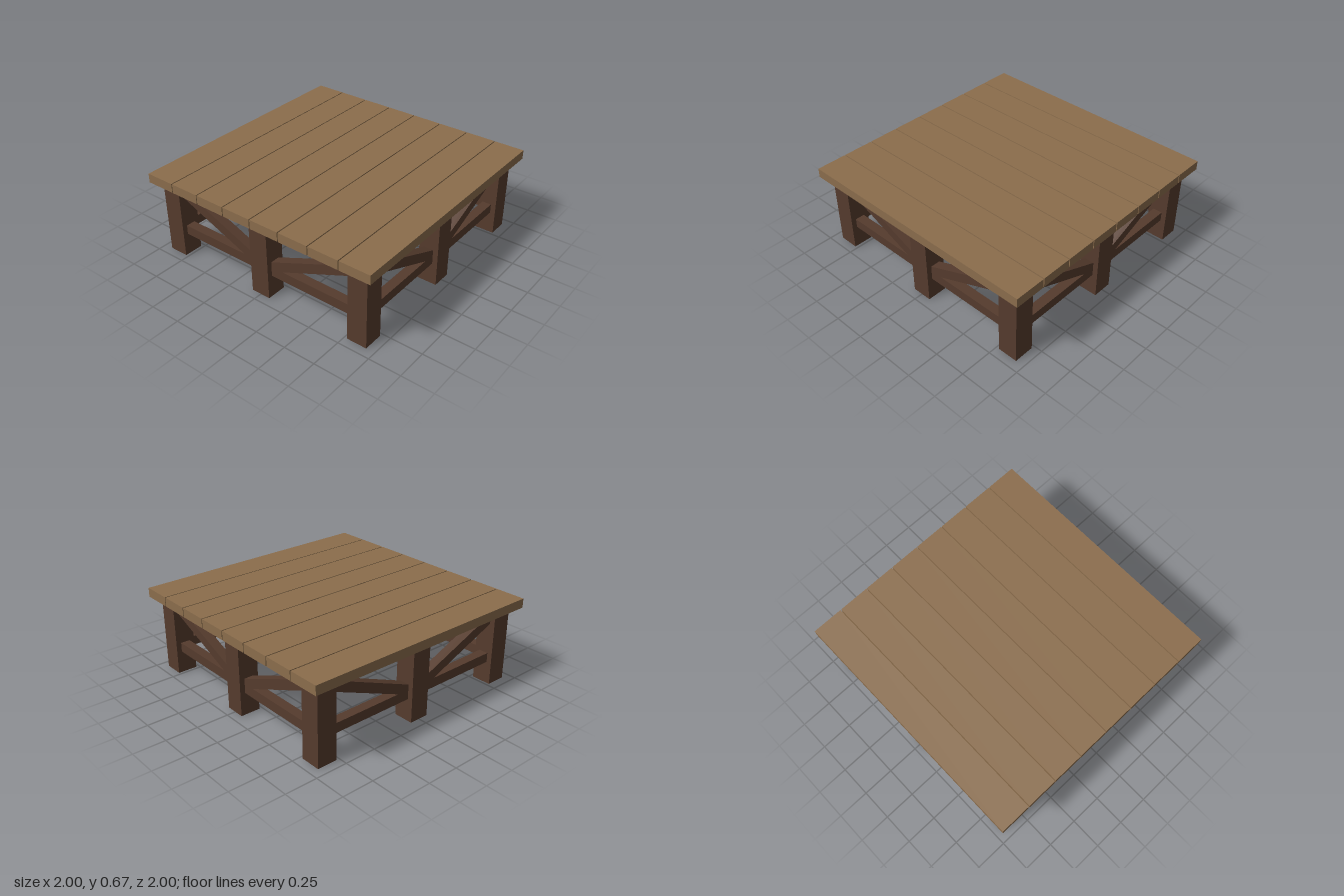
import * as THREE from 'three';

const plankMat = new THREE.MeshStandardMaterial({ color: 0x8b6d4c, flatShading: true });
const frameMat = new THREE.MeshStandardMaterial({ color: 0x553b2d, flatShading: true });

function box(name, w, h, d, x, y, z, mat) {
  const mesh = new THREE.Mesh(new THREE.BoxGeometry(w, h, d), mat);
  mesh.name = name;
  mesh.position.set(x, y, z);
  return mesh;
}

export function createModel() {
  const model = new THREE.Group();
  model.name = 'woodenPlatform';

  // Deck: eight planks with narrow gaps, running front to back
  const deck = new THREE.Group();
  deck.name = 'deck';
  const deckBottom = 0.597, deckTop = 0.67, count = 8, gap = 0.008;
  const plankW = (2 - gap * (count - 1)) / count;
  for (let i = 0; i < count; i++) {
    const x = -1 + plankW / 2 + i * (plankW + gap);
    deck.add(box('plank', plankW, deckTop - deckBottom, 2, x, (deckBottom + deckTop) / 2, 0, plankMat));
  }
  model.add(deck);

  // Posts: corners and middle of each side
  const postW = 0.157, inset = 0.852;
  for (const i of [-1, 0, 1]) {
    for (const j of [-1, 0, 1]) {
      if (i === 0 && j === 0) continue;
      model.add(box('post', postW, deckBottom, postW, i * inset, deckBottom / 2, j * inset, frameMat));
    }
  }

  // Each side: low rails and braces rising from the middle post to the corners
  const beam = 0.075;
  const low = new THREE.Vector2(0.04, 0.234), high = new THREE.Vector2(0.81, 0.55);
  const span = high.clone().sub(low), mid = low.clone().add(high).multiplyScalar(0.5);
  for (let k = 0; k < 4; k++) {
    const side = new THREE.Group();
    side.name = 'sideFrame';
    side.rotation.y = k * Math.PI / 2;
    for (const s of [-1, 1]) {
      side.add(box('rail', inset, beam, beam, s * inset / 2, 0.212, inset, frameMat));
      const brace = box('brace', span.length(), beam, beam, s * mid.x, mid.y, inset, frameMat);
      brace.rotation.z = s * span.angle();
      side.add(brace);
    }
    model.add(side);
  }
  return model;
}
